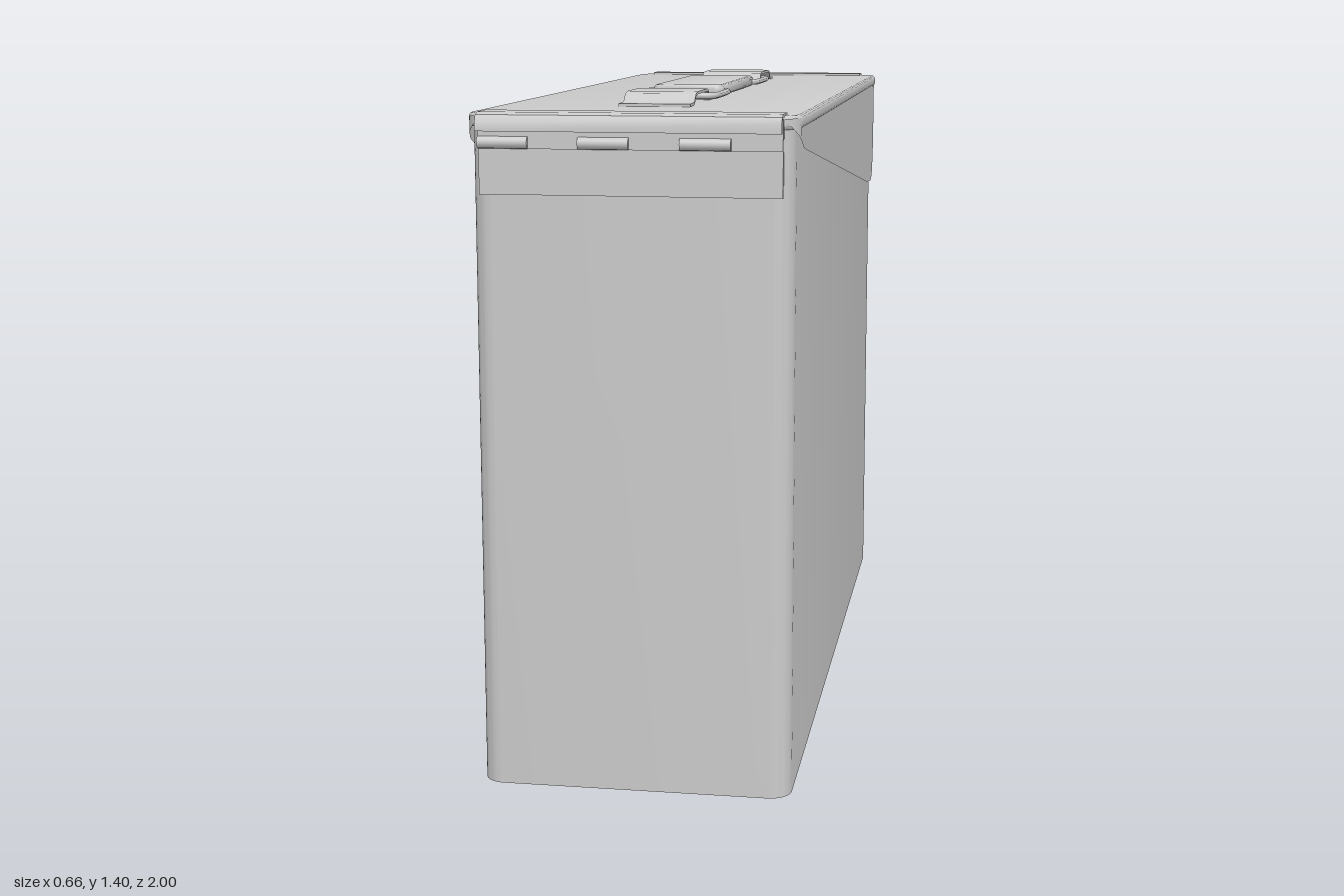
import * as THREE from 'three';
import { toCreasedNormals } from 'three/addons/utils/BufferGeometryUtils.js';
import { ParametricGeometry } from 'three/addons/geometries/ParametricGeometry.js';

const steel = new THREE.MeshStandardMaterial({ color: 0xcccccc });
const sheet = new THREE.MeshStandardMaterial({ color: 0xcccccc, side: THREE.DoubleSide });
const V = (x, y, z) => new THREE.Vector3(x, y, z);

export function createModel() {
  const model = new THREE.Group();
  const add = (name, geo, mat = steel) => {
    const mesh = new THREE.Mesh(geo, mat);
    mesh.name = name;
    model.add(mesh);
    return mesh;
  };

  // Upright slab with rounded corners, from y0 to y1
  const slab = (w, z0, z1, r, y0, y1, bevel = 0) => {
    const s = new THREE.Shape(), x = w / 2 - bevel, a = -z1 + bevel, b = -z0 - bevel;
    s.moveTo(-x + r, a).lineTo(x - r, a).absarc(x - r, a + r, r, -Math.PI / 2, 0);
    s.lineTo(x, b - r).absarc(x - r, b - r, r, 0, Math.PI / 2);
    s.lineTo(-x + r, b).absarc(-x + r, b - r, r, Math.PI / 2, Math.PI);
    s.lineTo(-x, a + r).absarc(-x + r, a + r, r, Math.PI, Math.PI * 1.5);
    const g = new THREE.ExtrudeGeometry(s, {
      depth: y1 - y0 - 2 * bevel, curveSegments: 8, bevelEnabled: bevel > 0,
      bevelSize: bevel, bevelThickness: bevel, bevelSegments: 3 });
    return toCreasedNormals(g.rotateX(-Math.PI / 2).translate(0, y0 + bevel, 0), 0.7);
  };

  // Bent strip: a [z, y] centre line given thickness t and extruded across x
  const strip = (points, t, w) => {
    const p = points.map(q => new THREE.Vector2(...q));
    const side = d => p.map((q, i) => {
      const dir = p[Math.min(i + 1, p.length - 1)].clone().sub(p[Math.max(i - 1, 0)]).normalize();
      return new THREE.Vector2(q.x - dir.y * d, q.y + dir.x * d);
    });
    const s = new THREE.Shape([...side(t / 2), ...side(-t / 2).reverse()]);
    const g = new THREE.ExtrudeGeometry(s, { depth: w, bevelEnabled: false });
    return toCreasedNormals(g.rotateY(-Math.PI / 2).translate(w / 2, 0, 0), 0.8);
  };

  const wire = (name, pts, r, closed = false) => {
    const curve = new THREE.CatmullRomCurve3(pts, closed, 'catmullrom', 0.25);
    add(name, new THREE.TubeGeometry(curve, 90, r, 6, closed));
  };

  // Can body and lid top
  add('body', slab(0.64, -0.91, 0.965, 0.045, 0, 1.36));
  add('lidTop', slab(0.664, -0.945, 0.968, 0.05, 1.35, 1.378, 0.008));

  // Lid side flaps, deeper toward the back and wrapping the corners
  const edge = [[-0.93, 1.36], [-0.905, 1.28], [-0.865, 1.13], [-0.845, 1.105], [-0.81, 1.095],
    [-0.7, 1.1], [0.88, 1.31], [0.92, 1.325], [0.945, 1.345], [0.968, 1.37]];
  const flapBottom = z => {
    const i = Math.max(1, edge.findIndex(e => e[0] >= z - 1e-6));
    const [a, b] = [edge[i - 1], edge[i]];
    return THREE.MathUtils.lerp(a[1], b[1], (z - a[0]) / (b[0] - a[0]));
  };
  for (const s of [-1, 1]) {
    add(s > 0 ? 'leftLidFlap' : 'rightLidFlap', new ParametricGeometry((u, v, out) => {
      const z = 0.019 + 0.949 * Math.cos(Math.PI * u), r = 0.05;
      const over = Math.min(r, Math.max(0, z - 0.918, -0.88 - z));
      const x = 0.33 - r + Math.sqrt(r * r - over * over);
      out.set(s * x, THREE.MathUtils.lerp(1.372, flapBottom(z), v), z);
    }, 72, 4), sheet);
  }

  // Front hinge: rolled lip, knuckles and plate
  add('hingeLip', strip([[0.91, 1.378], [0.975, 1.378], [0.99, 1.374], [0.996, 1.362], [0.996, 1.345]], 0.007, 0.6));
  add('hingeBacking', new THREE.BoxGeometry(0.6, 0.06, 0.016).translate(0, 1.34, 0.968));
  add('hingePlate', new THREE.BoxGeometry(0.6, 0.09, 0.01).translate(0, 1.265, 0.968));
  for (const x of [-0.25, -0.05, 0.15]) {
    add('hingeKnuckle', new THREE.CylinderGeometry(0.012, 0.012, 0.1, 12).rotateZ(Math.PI / 2).translate(x, 1.322, 0.976));
  }

  // Back lip of the lid with its hooked edge
  add('backLip', strip([[-0.955, 1.325], [-0.958, 1.36], [-0.95, 1.376], [-0.93, 1.38], [-0.88, 1.38]], 0.007, 0.58));
  for (const s of [-1, 1]) {
    const tab = new THREE.Shape([[-0.05, 0], [0.03, 0], [0.03, -0.09], [0, -0.1]].map(p => new THREE.Vector2(s * p[0], p[1])));
    add('catchTab', new THREE.ExtrudeGeometry(tab, { depth: 0.01, bevelEnabled: false }).translate(s * 0.24, 1.33, -0.945));
  }

  // Carrying handle: grip, two anchor straps and two wire links
  add('handleGrip', slab(0.16, -0.24, 0.28, 0.012, 1.378, 1.404, 0.008));
  const strap = [[-0.155, 1.381], [-0.105, 1.382], [-0.09, 1.398], [-0.07, 1.402], [0.055, 1.402],
    [0.08, 1.398], [0.1, 1.382], [0.155, 1.381]];
  for (const zc of [-0.495, 0.545]) add('handleStrap', strip(strap.map(p => [p[0] + zc, p[1]]), 0.006, 0.15));
  for (const [a, b] of [[-0.43, -0.205], [0.25, 0.475]]) {
    const y = 1.389, x = 0.09, r = 0.025;
    wire('handleLink', [V(-x + r, y, a), V(x - r, y, a), V(x, y, a + r), V(x, y, b - r),
      V(x - r, y, b), V(-x + r, y, b), V(-x, y, b - r), V(-x, y, a + r)], 0.007, true);
  }

  // Latch plate: pressed sheet with a dished round hole and turned-in sides
  const cy = 0.87;
  add('latchPlate', new ParametricGeometry((u, v, out) => {
    const a = u * Math.PI * 2, c = Math.cos(a), s = Math.sin(a);
    const k = Math.pow(Math.abs(c) ** 8 + Math.abs(s) ** 8, -1 / 8);
    const yo = cy + s * k * (s > 0 ? 0.33 : 0.27);
    const waist = 0.235 + 0.03 * Math.cos((yo - 0.89) * 10) ** 2;
    const t = THREE.MathUtils.smoothstep(v, 0, 1) * 0.5 + v * 0.5;
    const x = THREE.MathUtils.lerp(c * 0.125, c * k * waist, t);
    const y = THREE.MathUtils.lerp(cy + s * 0.125, yo, t);
    const rim = 0.04 * (1 - Math.min(1, v / 0.22)) ** 2;
    const turned = yo > 0.75 ? 0.045 * Math.max(0, (v - 0.86) / 0.14) : 0;
    const dent = 0.02 * Math.sin(Math.PI * v) * Math.cos(2 * a) ** 2;
    out.set(x, y, -0.996 + rim + turned * Math.abs(c) ** 0.5 + dent);
  }, 72, 18), sheet);

  // Wire bail joining the latch plate to the lid
  wire('latchBail', [V(0.24, 1.0, -0.965), V(0.27, 1.08, -0.97), V(0.3, 1.2, -0.955), V(0.285, 1.31, -0.94),
    V(0.25, 1.345, -0.94), V(-0.25, 1.345, -0.94), V(-0.285, 1.31, -0.94), V(-0.3, 1.2, -0.955),
    V(-0.27, 1.08, -0.97), V(-0.24, 1.0, -0.965)], 0.007);
  add('latchPivot', new THREE.CylinderGeometry(0.012, 0.012, 0.5, 10).rotateZ(Math.PI / 2).translate(0, 1.14, -0.965));

  // Lower anchor bracket with ears, and the hanging wire loop
  add('anchorBracket', strip([[-0.912, 0.53], [-0.92, 0.56], [-0.945, 0.6], [-0.925, 0.64], [-0.912, 0.66]], 0.008, 0.5));
  for (const s of [-1, 1]) {
    add('anchorEar', strip([[-0.912, 0.51], [-0.94, 0.55], [-0.955, 0.6], [-0.93, 0.65], [-0.912, 0.69]], 0.008, 0.07)
      .translate(s * 0.245, 0, 0));
  }
  wire('lowerBail', [V(0.24, 0.6, -0.935), V(0.275, 0.59, -0.935), V(0.29, 0.53, -0.945), V(0.29, 0.33, -0.966),
    V(0.275, 0.27, -0.972), V(0.22, 0.247, -0.975), V(-0.22, 0.247, -0.975), V(-0.275, 0.27, -0.972),
    V(-0.29, 0.33, -0.966), V(-0.29, 0.53, -0.945), V(-0.275, 0.59, -0.935), V(-0.24, 0.6, -0.935)], 0.007);

  return model;
}
